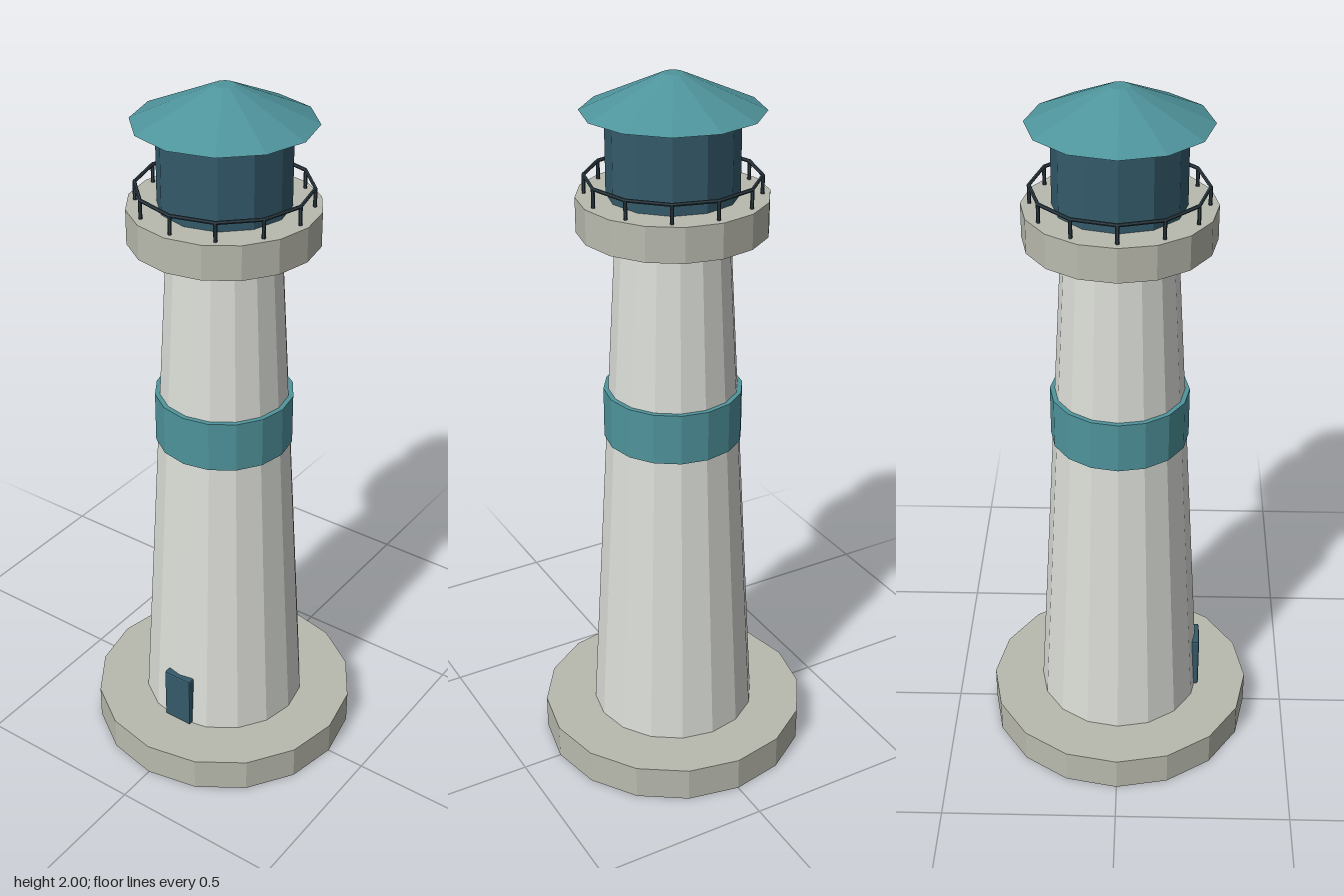
import * as THREE from 'three';
import { RoundedBoxGeometry } from 'three/addons/geometries/RoundedBoxGeometry.js';

const material = (color) => new THREE.MeshStandardMaterial({ color, flatShading: true });

export function createModel() {
  const group = new THREE.Group();
  const stone = material(0xb9baae);
  const plaster = material(0xdcded8);
  const teal = material(0x4f949c);
  const darkBlue = material(0x345a6b);
  const iron = material(0x2c3c44);

  const add = (name, geometry, mat, x = 0, y = 0, z = 0, parent = group) => {
    const mesh = new THREE.Mesh(geometry, mat);
    mesh.name = name;
    mesh.position.set(x, y, z);
    parent.add(mesh);
    return mesh;
  };

  // Faceted drum or cone between two heights
  const drum = (name, rBottom, rTop, y0, y1, sides, mat) =>
    add(name, new THREE.CylinderGeometry(rTop, rBottom, y1 - y0, sides), mat, 0, (y0 + y1) / 2, 0);

  drum('base', 0.385, 0.385, 0, 0.1, 16, stone);
  drum('tower', 0.237, 0.153, 0.1, 1.59, 16, plaster);
  drum('band', 0.192, 0.192, 0.99, 1.135, 16, teal);
  drum('gallery', 0.255, 0.255, 1.59, 1.685, 16, stone);
  drum('lanternRoom', 0.175, 0.175, 1.685, 1.905, 12, darkBlue);
  drum('roof', 0.24, 0.028, 1.905, 2, 12, teal);

  // Door set into the front of the tower
  add('door', new RoundedBoxGeometry(0.09, 0.165, 0.03, 1, 0.005), darkBlue, 0, 0.1825, 0.226);

  // Gallery railing: twelve posts carrying a rail
  const railing = new THREE.Group();
  railing.name = 'railing';
  group.add(railing);
  const posts = 12, radius = 0.231, railY = 1.735;
  const postGeometry = new THREE.CylinderGeometry(0.005, 0.005, railY - 1.685, 6);
  for (let i = 0; i < posts; i++) {
    const a = (i / posts) * Math.PI * 2;
    add('railingPost', postGeometry, iron,
      Math.sin(a) * radius, (railY + 1.685) / 2, Math.cos(a) * radius, railing);
  }
  const rail = add('handrail', new THREE.TorusGeometry(radius, 0.005, 6, posts), iron, 0, railY, 0, railing);
  rail.rotation.x = Math.PI / 2;

  return group;
}
